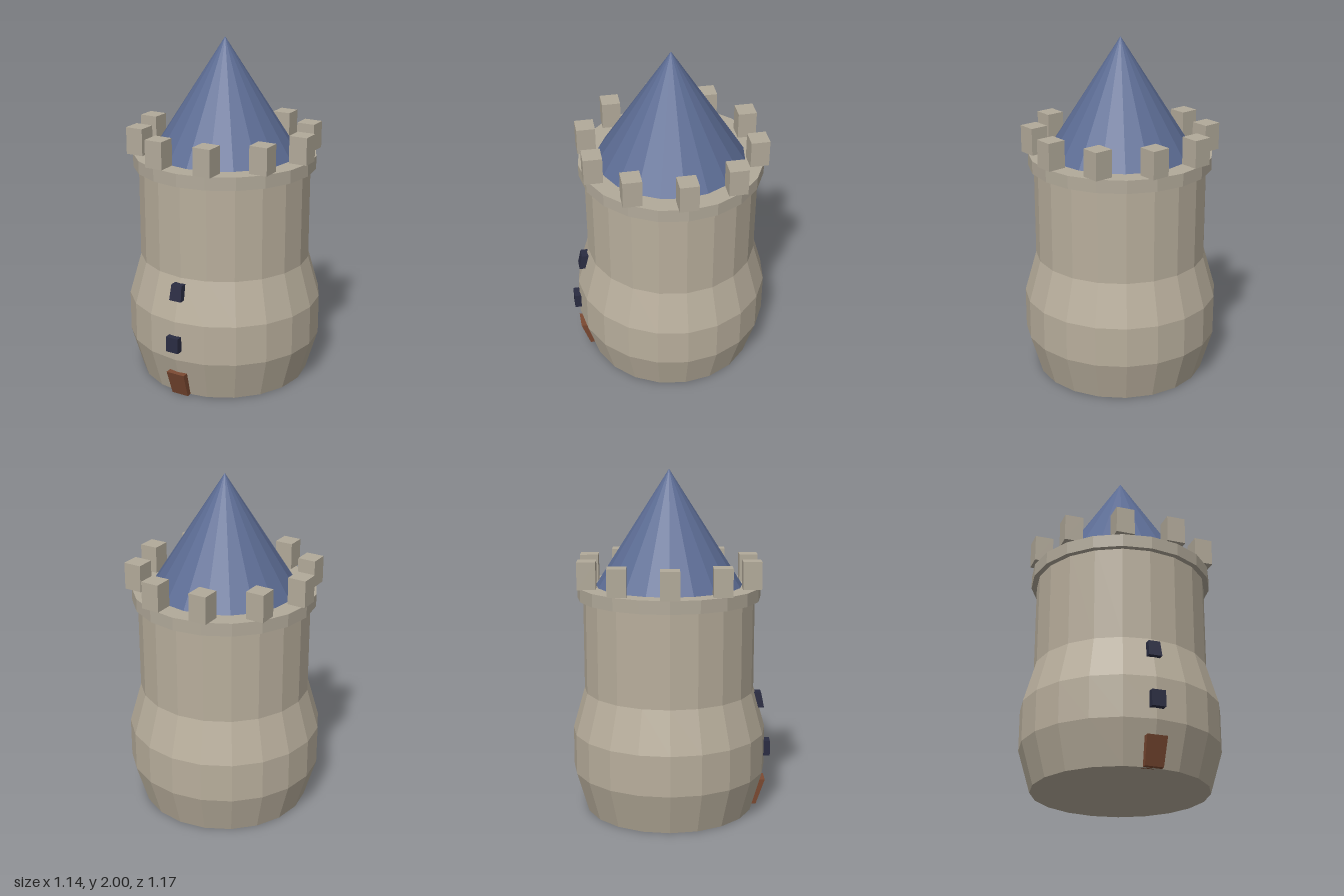
import * as THREE from 'three';

const SIDES = 20;

const paint = (color) => new THREE.MeshStandardMaterial({ color, flatShading: true });

export function createModel() {
  const tower = new THREE.Group();
  tower.name = 'tower';

  const stone = paint(0xb8ae9c);
  const trim = paint(0xb2aa9a);
  const slate = paint(0x5c6c94);
  const wood = paint(0x7c4a32);
  const glass = paint(0x2a2c42);

  function add(name, geometry, material, x = 0, y = 0, z = 0) {
    const mesh = new THREE.Mesh(geometry, material);
    mesh.name = name;
    mesh.position.set(x, y, z);
    tower.add(mesh);
    return mesh;
  }

  // Round wall with a bulge in its lower half
  const profile = [
    [0, 0], [0.5, 0], [0.57, 0.24], [0.57, 0.475], [0.5, 0.72], [0.5, 1.3],
  ].map(([r, y]) => new THREE.Vector2(r, y));
  add('wall', new THREE.LatheGeometry(profile, SIDES), stone);

  // Parapet ring and conical roof
  add('parapet', new THREE.CylinderGeometry(0.532, 0.532, 0.075, SIDES), trim, 0, 1.2975, 0);
  add('roof', new THREE.ConeGeometry(0.425, 0.665, SIDES), slate, 0, 1.6675, 0);

  // Battlements: square blocks, all facing the same way
  const block = new THREE.BoxGeometry(0.107, 0.157, 0.107);
  for (let i = 0; i < 10; i++) {
    const a = (i / 10) * Math.PI * 2;
    add('battlement', block, trim, 0.493 * Math.cos(a), 1.4165, 0.493 * Math.sin(a));
  }

  // Panel whose bottom and top edges follow the slope of the wall
  function panel(name, material, bottom, top) {
    const g = new THREE.BoxGeometry(1, 1, 1);
    const p = g.attributes.position;
    for (let i = 0; i < p.count; i++) {
      const e = p.getY(i) > 0 ? top : bottom;
      const z = p.getZ(i) > 0 ? e.z : e.z - 0.06;
      p.setXYZ(i, Math.sign(p.getX(i)) * e.w, e.y, z);
    }
    g.computeVertexNormals();
    add(name, g, material);
  }
  panel('door', wood, { y: 0, w: 0.052, z: 0.522 }, { y: 0.153, w: 0.057, z: 0.574 });
  panel('lowerWindow', glass, { y: 0.3, w: 0.039, z: 0.603 }, { y: 0.39, w: 0.039, z: 0.603 });
  panel('upperWindow', glass, { y: 0.6, w: 0.038, z: 0.563 }, { y: 0.69, w: 0.033, z: 0.545 });

  // Centre the whole depth, windows included
  tower.children.forEach((part) => { part.position.z -= 0.018; });
  return tower;
}
